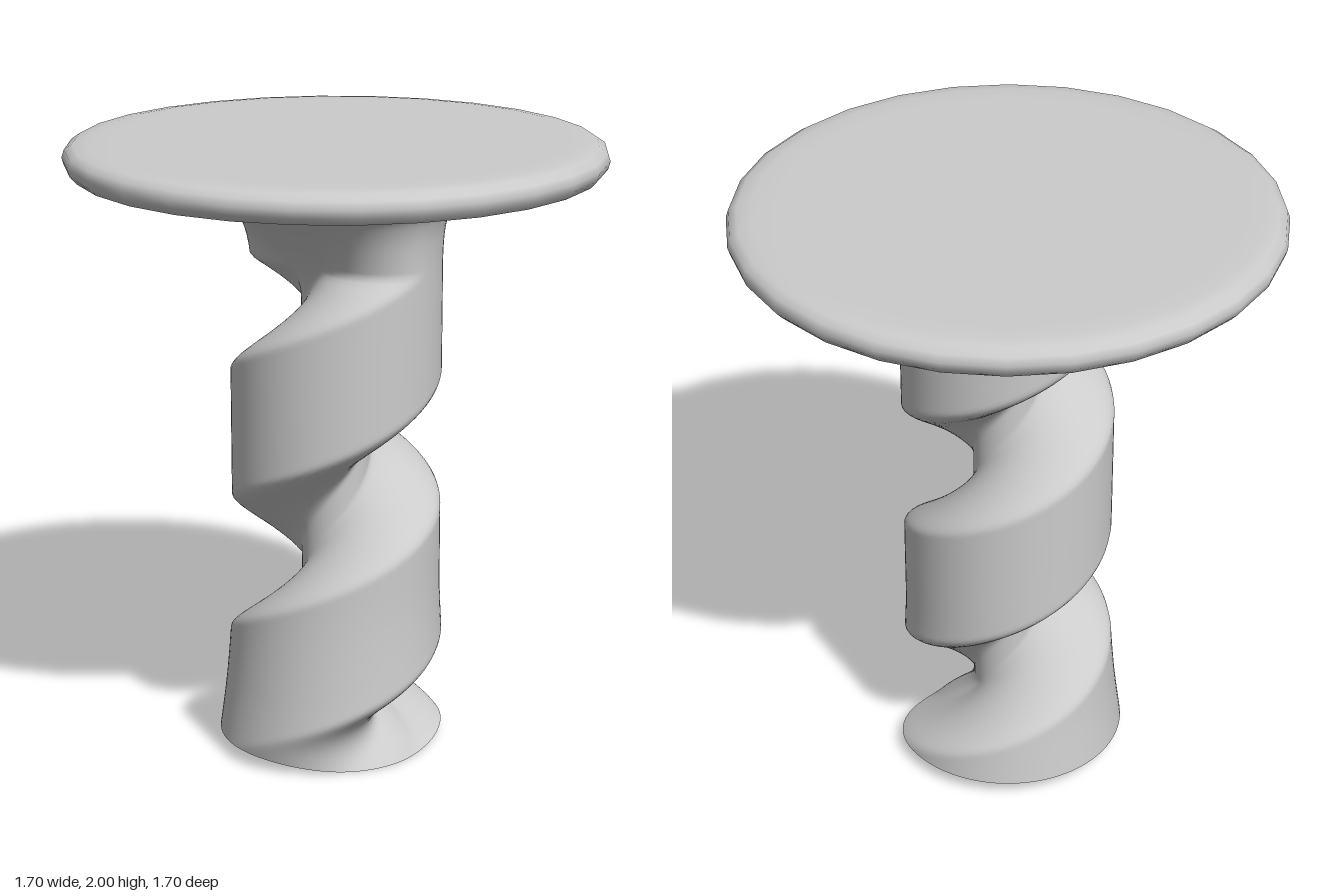
import * as THREE from 'three';

const { smoothstep, lerp } = THREE.MathUtils;
const material = new THREE.MeshStandardMaterial({ color: 0xcccccc, side: THREE.DoubleSide });

const RISE = 0.138; // height gained per radian of twist
const CORE = 0.11; // radius at the bottom of the groove

// Outer radius and height of the column, from the flared foot to the underside of the top
const columnProfile = new THREE.SplineCurve([
  [0.38, 0.05], [0.355, 0.25], [0.337, 0.5], [0.335, 0.75], [0.335, 1.0], [0.335, 1.25],
  [0.335, 1.5], [0.336, 1.66], [0.347, 1.75], [0.375, 1.81], [0.44, 1.855],
  [0.55, 1.88], [0.68, 1.892], [0.8, 1.9],
].map(([r, y]) => new THREE.Vector2(r, y)));

// 1 in the middle of the groove, 0 on the outer band
function groove(theta, y) {
  const centre = Math.min((y - 1.62) / RISE, -0.1);
  const d = theta - centre;
  const offset = Math.abs(d - 2 * Math.PI * Math.round(d / (2 * Math.PI)));
  return 1 - smoothstep(offset, 0.35, 1.65);
}

// Hollow column with one helical groove that fades out at both ends
function twistedColumn(segments = 84, rows = 150) {
  const positions = [];
  const indices = [];
  columnProfile.getSpacedPoints(rows).forEach(({ x: radius, y }) => {
    const depth = lerp(0.3, 1, smoothstep(y, 0.03, 0.22)) * (1 - smoothstep(y, 1.5, 1.9));
    const dip = 0.05 * (1 - smoothstep(y, 0.05, 0.22));
    for (let i = 0; i < segments; i++) {
      const theta = (i / segments) * Math.PI * 2;
      const g = groove(theta, y);
      const r = radius - (radius - CORE) * depth * g;
      positions.push(r * Math.sin(theta), y - dip * g, r * Math.cos(theta));
    }
  });
  for (let j = 0; j < rows; j++) {
    for (let i = 0; i < segments; i++) {
      const next = (i + 1) % segments;
      const a = j * segments + i;
      const b = j * segments + next;
      indices.push(a, b, b + segments, a, b + segments, a + segments);
    }
  }
  const geometry = new THREE.BufferGeometry();
  geometry.setAttribute('position', new THREE.Float32BufferAttribute(positions, 3));
  geometry.setIndex(indices);
  geometry.computeVertexNormals();
  return geometry;
}

// Round top with a softly rounded rim, open where the column flares into it
function roundTop() {
  const rim = [
    [0.78, 1.899], [0.82, 1.903], [0.84, 1.925], [0.848, 1.95],
    [0.84, 1.975], [0.815, 1.992], [0.77, 1.998], [0.7, 2], [0, 2],
  ];
  return new THREE.LatheGeometry(rim.map(([r, y]) => new THREE.Vector2(r, y)), 28);
}

export function createModel() {
  const model = new THREE.Group();
  model.name = 'pedestalTable';
  const parts = { twistedColumn: twistedColumn(), tableTop: roundTop() };
  for (const [name, geometry] of Object.entries(parts)) {
    const mesh = new THREE.Mesh(geometry, material);
    mesh.name = name;
    model.add(mesh);
  }
  return model;
}
